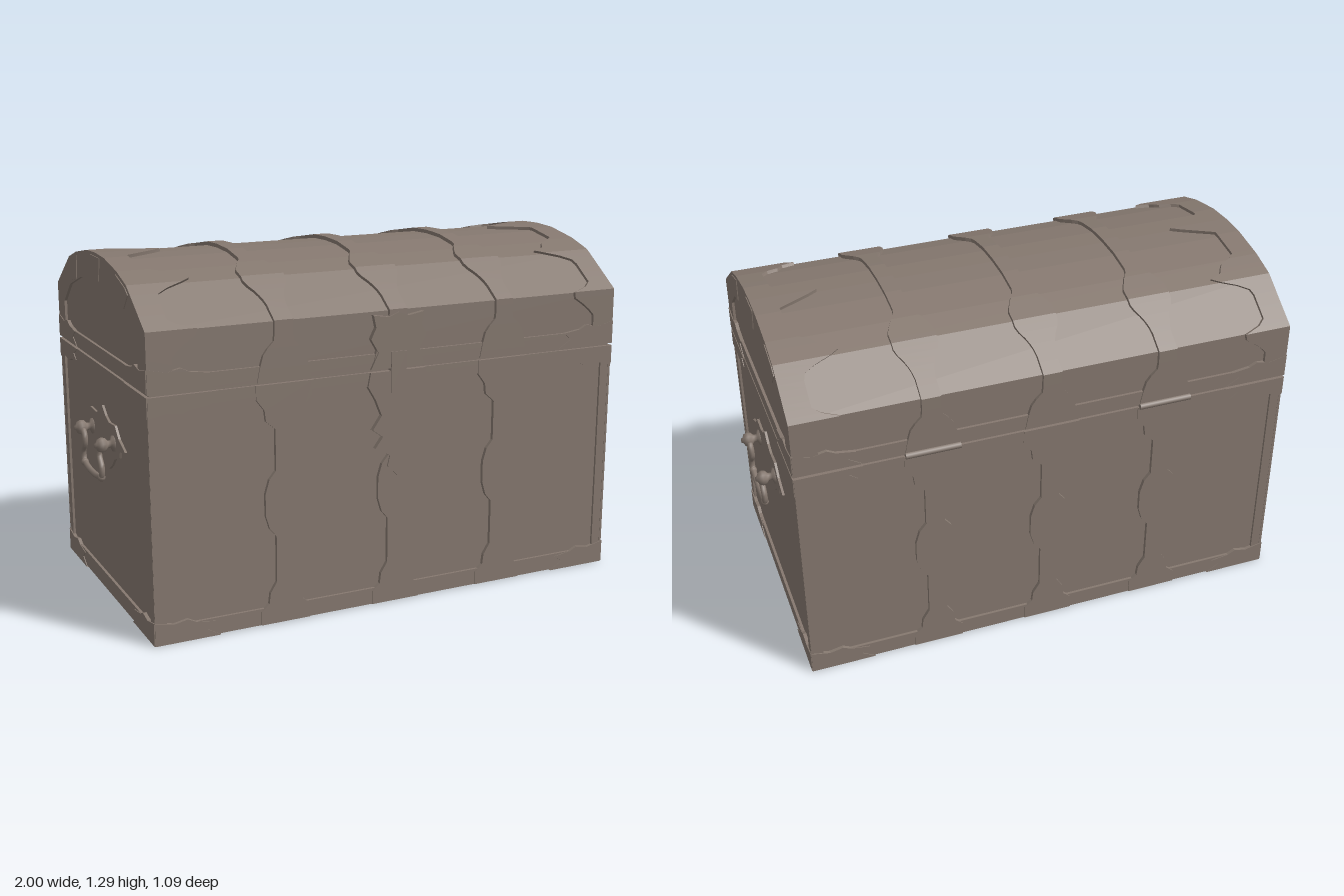
import * as THREE from 'three';

const W = 0.92, D = 0.52; // half width and half depth of the wooden core
const material = new THREE.MeshStandardMaterial({ color: 0x85786f });
material.name = 'aged brown';

// Lid cross-section as [z, y], front half then mirrored
const half = [[0.52, 0.889], [0.52, 1.095], [0.34, 1.217], [0.24, 1.247], [0.1, 1.271], [0, 1.275]];
const lidProfile = [...half, ...half.slice(0, -1).reverse().map(([z, y]) => [-z, y])];

const mirrorX = (pts) => pts.map(([x, y]) => [-x, y]);
const rect = (x0, y0, x1, y1) => [[x0, y0], [x1, y0], [x1, y1], [x0, y1]];
const symmetric = (right) => [...right, ...mirrorX(right).reverse()];

function mesh(parent, name, geometry) {
  const m = new THREE.Mesh(geometry, material);
  m.name = name;
  parent.add(m);
  return m;
}

// Flat plate cut from an outline, standing proud of the parent's local z = 0
function plate(parent, name, pts, depth = 0.01) {
  const shape = new THREE.Shape(pts.map(([x, y]) => new THREE.Vector2(x, y)));
  return mesh(parent, name, new THREE.ExtrudeGeometry(shape, { depth, bevelEnabled: false }));
}

function lookup(table, s) {
  for (let i = 1; i < table.length; i++) {
    const [s0, a] = table[i - 1], [s1, b] = table[i];
    if (s <= s1) return a + (b - a) * (s - s0) / (s1 - s0);
  }
  return table[table.length - 1][1];
}

// Raised strip wrapped over the lid; edges(s) gives its two x edges at distance s from the rim
function lidStrip(parent, name, edges, depth) {
  const stations = [];
  let total = 0;
  for (let i = 0; i < lidProfile.length - 1; i++) {
    const [z0, y0] = lidProfile[i], [z1, y1] = lidProfile[i + 1];
    const len = Math.hypot(z1 - z0, y1 - y0), n = Math.ceil(len / 0.025);
    for (let k = i ? 1 : 0; k <= n; k++) {
      const t = k / n;
      stations.push([z0 + (z1 - z0) * t, y0 + (y1 - y0) * t, total + len * t]);
    }
    total += len;
  }
  const pos = [], index = [];
  stations.forEach(([z, y, s], i) => {
    const [x0, x1] = edges(Math.min(s, total - s));
    const r = Math.hypot(z, y - 0.889), oz = z + depth * z / r, oy = y + depth * (y - 0.889) / r;
    pos.push(x0, y, z, x0, oy, oz, x1, oy, oz, x1, y, z);
    if (!i) return;
    for (let k = 0; k < 3; k++) {
      const a = (i - 1) * 4 + k, b = i * 4 + k;
      index.push(a, a + 1, b, b, a + 1, b + 1);
    }
  });
  const last = (stations.length - 1) * 4;
  index.push(0, 2, 1, 0, 3, 2, last, last + 1, last + 2, last, last + 2, last + 3);
  const g = new THREE.BufferGeometry();
  g.setAttribute('position', new THREE.Float32BufferAttribute(pos, 3));
  g.setIndex(index);
  const flat = g.toNonIndexed();
  flat.computeVertexNormals();
  return mesh(parent, name, flat);
}

// Edge bands and pointed corner plates shared by all four faces
function faceTrim(face, w) {
  const e = w + 0.01;
  plate(face, 'bottomBand', rect(-e, 0.004, e, 0.065));
  plate(face, 'bodyRimBand', rect(-e, 0.83, e, 0.88));
  plate(face, 'lidRimBand', rect(-e, 0.89, e, 0.945));
  const corner = [[e, 0], [e - 0.24, 0], [e - 0.19, 0.03], [e - 0.22, 0.055], [e - 0.15, 0.065],
    [e - 0.12, 0.08], [e - 0.07, 0.07], [e, 0.085]];
  for (const flip of [(p) => p, mirrorX]) {
    plate(face, 'cornerPost', flip(rect(e, 0.065, e - 0.045, 0.83)), 0.009);
    plate(face, 'bottomCorner', flip(corner), 0.013);
    plate(face, 'bodyTopCorner', flip(corner.map(([x, y]) => [x, 0.88 - y * 0.85])), 0.013);
    plate(face, 'lidCorner', flip(corner.map(([x, y]) => [x, 0.89 + y])), 0.013);
  }
}

function handle(face) {
  const g = new THREE.Group();
  g.name = 'handle';
  face.add(g);
  plate(g, 'handlePlate', symmetric([[0, 0.5], [0.06, 0.505], [0.1, 0.53], [0.13, 0.56], [0.19, 0.58],
    [0.2, 0.605], [0.26, 0.62], [0.19, 0.65], [0.15, 0.69], [0.08, 0.685], [0.04, 0.7], [0, 0.73]]), 0.009);
  // Turned studs carrying the hanging bail
  const stud = [[0.03, 0], [0.03, 0.014], [0.014, 0.02], [0.014, 0.032], [0.025, 0.042], [0.028, 0.055],
    [0.022, 0.068], [0.01, 0.074], [0.008, 0.08], [0, 0.08]].map(([x, y]) => new THREE.Vector2(x, y));
  for (const s of [-1, 1]) {
    const m = mesh(g, 'handleStud', new THREE.LatheGeometry(stud, 10));
    m.rotation.x = Math.PI / 2;
    m.position.set(0.13 * s, 0.62, 0);
    const bead = mesh(g, 'bailBead', new THREE.SphereGeometry(0.015, 10, 6));
    bead.position.set(0.105 * s, 0.492, 0.052);
  }
  const path = [[0.13, 0.62], [0.095, 0.605], [0.09, 0.57], [0.115, 0.535], [0.112, 0.5], [0.07, 0.486], [0, 0.481]];
  const pts = [...path, ...mirrorX(path.slice(0, -1)).reverse()].map(([x, y]) => new THREE.Vector3(x, y, 0.052));
  mesh(g, 'handleBail', new THREE.TubeGeometry(new THREE.CatmullRomCurve3(pts), 48, 0.011, 8));
}

export function createModel() {
  const chest = new THREE.Group();
  chest.name = 'chest';

  // Wooden core: body and barrel lid
  const body = mesh(chest, 'body', new THREE.BoxGeometry(2 * W, 0.876, 2 * D));
  body.position.y = 0.442;
  const lid = plate(chest, 'lid', lidProfile, 2 * W);
  lid.rotation.y = Math.PI / 2;
  lid.position.x = -W;
  const seam = mesh(chest, 'seam', new THREE.BoxGeometry(2 * W, 0.012, 2 * D));
  seam.position.y = 0.885;

  // Vertical strap outlines as half width against height
  const bodyStrap = symmetric([[0.095, 0.004], [0.095, 0.055], [0.065, 0.08], [0.06, 0.12], [0.035, 0.16],
    [0.035, 0.33], [0.06, 0.36], [0.075, 0.41], [0.075, 0.49], [0.06, 0.54], [0.035, 0.57], [0.035, 0.72],
    [0.07, 0.75], [0.075, 0.79], [0.105, 0.83], [0.105, 0.88]]);
  const lockPlate = symmetric([[0, 0.49], [0.04, 0.53], [0.03, 0.57], [0.09, 0.6], [0.06, 0.64], [0.1, 0.67],
    [0.065, 0.72], [0.09, 0.78], [0.12, 0.83], [0.11, 0.88]]);
  const hasp = symmetric([[0.11, 0.89], [0.08, 0.95], [0.11, 1.0], [0.09, 1.04], [0.1, 1.085], [0.04, 1.075], [0, 1.09]]);

  // Front and back faces
  for (const [name, dir] of [['frontFace', 1], ['backFace', -1]]) {
    const face = new THREE.Group();
    face.name = name;
    face.rotation.y = dir > 0 ? 0 : Math.PI;
    face.position.z = dir * D;
    chest.add(face);
    faceTrim(face, W);
    for (const x of [-0.44, 0, 0.44]) plate(face, 'strap', bodyStrap, 0.014).position.x = x;
    if (dir > 0) {
      plate(face, 'lockPlate', lockPlate, 0.019);
      plate(face, 'hasp', hasp, 0.019);
      plate(face, 'latch', rect(-0.03, 0.8, 0.03, 0.95), 0.023);
    } else {
      for (const x of [-0.44, 0.44]) {
        const hinge = mesh(face, 'hinge', new THREE.CylinderGeometry(0.012, 0.012, 0.2, 8));
        hinge.rotation.z = Math.PI / 2;
        hinge.position.set(x, 0.885, 0.014);
      }
    }
  }

  // End faces with arched lid trim and handles
  const innerArch = [[0.445, 0.89], [0.445, 1.04], [0.35, 1.12], [0.2, 1.17], [0, 1.19]];
  const arch = [...lidProfile, ...mirrorX(innerArch), ...innerArch.slice(0, -1).reverse()];
  for (const [name, dir] of [['leftEnd', 1], ['rightEnd', -1]]) {
    const face = new THREE.Group();
    face.name = name;
    face.rotation.y = dir * Math.PI / 2;
    face.position.x = dir * W;
    chest.add(face);
    faceTrim(face, D);
    plate(face, 'lidArchBand', arch);
    plate(face, 'archClasp', symmetric([[0.035, 1.19], [0.055, 1.274]]), 0.013);
    for (const flip of [(p) => p, mirrorX]) {
      plate(face, 'archClasp', flip([[0.25, 1.155], [0.32, 1.14], [0.37, 1.195], [0.34, 1.215], [0.24, 1.245]]), 0.013);
    }
    handle(face);
  }

  // Lid straps and scalloped end rims
  const strapWidth = [[0, 0.1], [0.05, 0.09], [0.1, 0.075], [0.14, 0.035], [0.29, 0.035], [0.34, 0.05],
    [0.39, 0.08], [0.47, 0.08], [0.53, 0.05], [0.56, 0.03], [0.8, 0.03]];
  for (const x of [-0.44, 0, 0.44]) {
    lidStrip(chest, 'lidStrap', (s) => [x - lookup(strapWidth, s), x + lookup(strapWidth, s)], 0.014);
  }
  const rimWidth = [[0, 0.09], [0.12, 0.09], [0.16, 0.14], [0.2, 0.2], [0.22, 0.13], [0.25, 0.09], [0.37, 0.09],
    [0.4, 0.14], [0.44, 0.24], [0.47, 0.17], [0.5, 0.17], [0.54, 0.09], [0.69, 0.09], [0.72, 0.15], [0.767, 0.24]];
  const edge = W + 0.01;
  lidStrip(chest, 'lidEndRim', (s) => [edge - lookup(rimWidth, s), edge], 0.012);
  lidStrip(chest, 'lidEndRim', (s) => [-edge, -edge + lookup(rimWidth, s)], 0.012);

  // Underside corner plates
  for (const sx of [-1, 1]) for (const sz of [-1, 1]) {
    const pts = [[0, 0], [0.24, 0], [0.2, 0.06], [0.12, 0.14], [0.07, 0.2], [0, 0.22]];
    const m = plate(chest, 'baseCorner', pts.map(([x, y]) => [sx * (edge - x), sz * (D + 0.01 - y)]), 0.006);
    m.rotation.x = Math.PI / 2;
    m.position.y = 0.006;
  }
  return chest;
}
